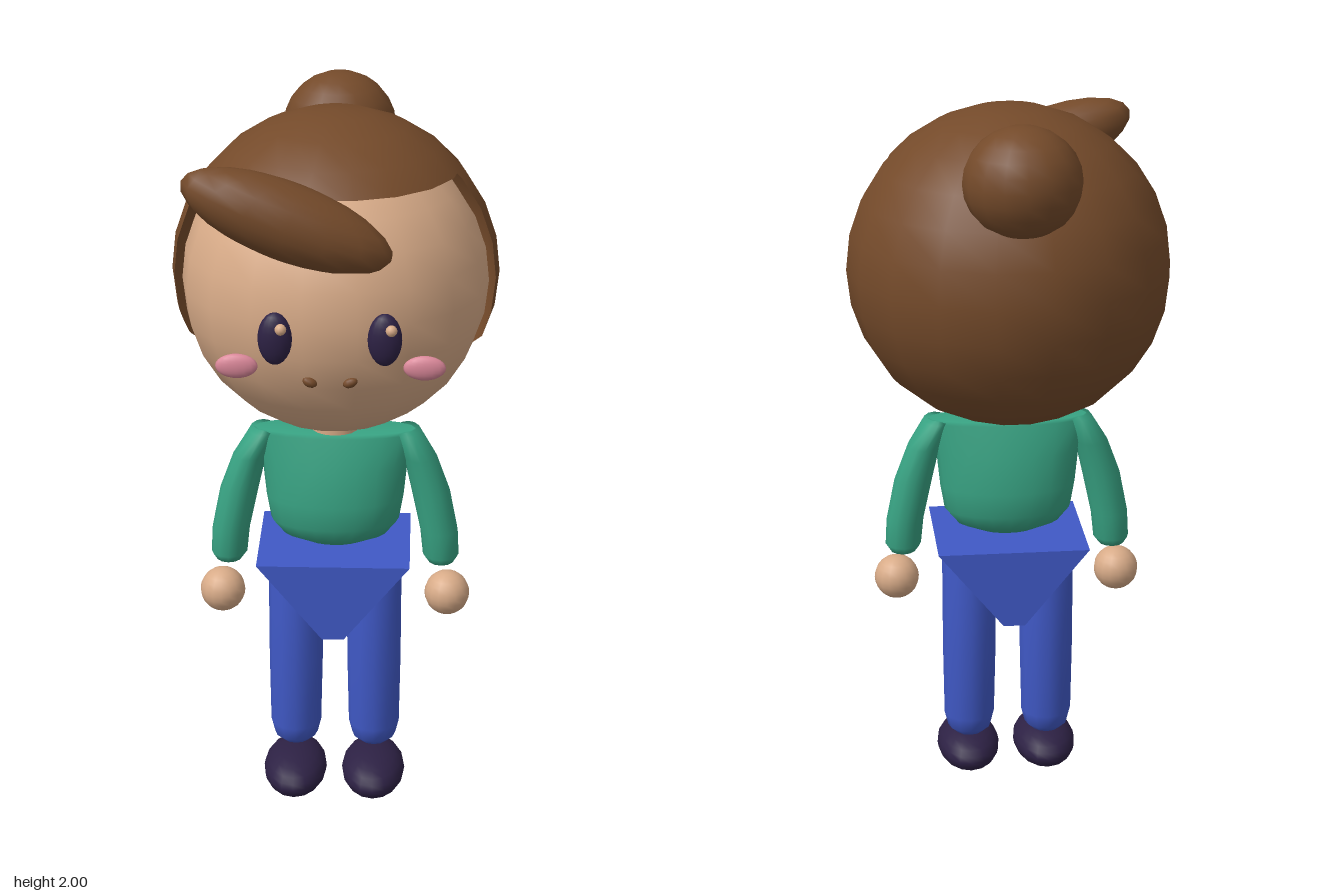
import * as THREE from 'three';

const mat = (name, color, side = THREE.FrontSide) => {
  const m = new THREE.MeshStandardMaterial({ color, side });
  m.name = name;
  return m;
};

// Keep the part of a triangle mesh where every plane [a,b,c,d] gives ax+by+cz+d >= 0.
function clipped(geometry, planes, out) {
  const g = geometry.toNonIndexed();
  const P = g.attributes.position, N = g.attributes.normal;
  for (let t = 0; t < P.count; t += 3) {
    let poly = [0, 1, 2].map(k => ({
      p: new THREE.Vector3().fromBufferAttribute(P, t + k),
      n: new THREE.Vector3().fromBufferAttribute(N, t + k),
    }));
    for (const [a, b, c, d] of planes) {
      const dist = v => a * v.p.x + b * v.p.y + c * v.p.z + d;
      const next = [];
      poly.forEach((v, i) => {
        const w = poly[(i + 1) % poly.length], dv = dist(v), dw = dist(w);
        if (dv >= 0) next.push(v);
        if ((dv >= 0) !== (dw >= 0)) {
          const f = dv / (dv - dw);
          next.push({ p: v.p.clone().lerp(w.p, f), n: v.n.clone().lerp(w.n, f).normalize() });
        }
      });
      poly = next;
    }
    for (let k = 1; k + 1 < poly.length; k++) {
      for (const v of [poly[0], poly[k], poly[k + 1]]) {
        out.p.push(...v.p.toArray());
        out.n.push(...v.n.toArray());
      }
    }
  }
}

// Smooth body through horizontal ellipses [x, y, z, rx, rz], listed from bottom to top.
function loft(rings, segs = 16) {
  const pos = [], idx = [];
  rings.forEach(([x, y, z, rx, rz], i) => {
    for (let j = 0; j < segs; j++) {
      const a = (j / segs) * Math.PI * 2;
      pos.push(x + Math.cos(a) * rx, y, z + Math.sin(a) * rz);
      if (i + 1 < rings.length) {
        const k = (j + 1) % segs, A = i * segs + j, B = i * segs + k;
        idx.push(A, A + segs, B, B, A + segs, B + segs);
      }
    }
  });
  const g = new THREE.BufferGeometry();
  g.setAttribute('position', new THREE.Float32BufferAttribute(pos, 3));
  g.setIndex(idx);
  g.computeVertexNormals();
  return g;
}

export function createModel() {
  const model = new THREE.Group();
  const skin = mat('skin', 0xd8ab88);
  const hair = mat('hair', 0x744a2a, THREE.DoubleSide);
  const green = mat('sweater', 0x38a383);
  const blue = mat('trousers', 0x4059c6);
  const dark = mat('eyesAndShoes', 0x2d2144);
  const pink = mat('blush', 0xda8799);

  const add = (name, geometry, material) => {
    const m = new THREE.Mesh(geometry, material);
    m.name = name;
    model.add(m);
    return m;
  };
  const ball = (name, material, pos, r, w = 16, h = 12) => {
    const m = add(name, new THREE.SphereGeometry(1, w, h), material);
    m.position.set(...pos);
    m.scale.set(...r);
    return m;
  };

  // Head and neck
  ball('head', skin, [0, 1.52, 0.02], [0.412, 0.412, 0.412], 18, 14);
  const neck = add('neck', new THREE.CylinderGeometry(0.065, 0.065, 0.12, 16), skin);
  neck.position.set(0, 1.11, 0.045);

  // Hair shell: back half cut slanting at the nape, plus the crown above the forehead
  const shell = new THREE.SphereGeometry(0.44, 18, 14);
  shell.translate(0, 1.543, 0.005);
  const cut = { p: [], n: [] };
  clipped(shell, [[0, 0, -1, 0.07], [0, 1, -0.96, -1.353]], cut);
  clipped(shell, [[0, 0, 1, -0.07], [0, 1, 0, -1.83]], cut);
  const hairGeo = new THREE.BufferGeometry();
  hairGeo.setAttribute('position', new THREE.Float32BufferAttribute(cut.p, 3));
  hairGeo.setAttribute('normal', new THREE.Float32BufferAttribute(cut.n, 3));
  add('hairShell', hairGeo, hair);

  ball('hairBun', hair, [0, 1.855, -0.33], [0.155, 0.146, 0.142]);
  ball('fringe', hair, [-0.11, 1.782, 0.355], [0.285, 0.1, 0.097]).rotation.z = -0.37;

  // Torso
  add('torso', loft([
    [0, 0.76, 0.045, 0, 0],
    [0, 0.765, 0.045, 0.08, 0.05],
    [0, 0.79, 0.045, 0.145, 0.085],
    [0, 0.83, 0.045, 0.178, 0.105],
    [0, 0.9, 0.045, 0.19, 0.11],
    [0, 1.0, 0.045, 0.2, 0.095],
    [0, 1.09, 0.045, 0.225, 0.07],
    [0, 1.1, 0.045, 0.22, 0.065],
    [0, 1.1, 0.045, 0, 0],
  ], 20), green);

  // Hips: a wedge running front to back, wide above and narrow below
  const wedge = new THREE.Shape([
    new THREE.Vector2(-0.21, 0.76), new THREE.Vector2(-0.03, 0.54),
    new THREE.Vector2(0.03, 0.54), new THREE.Vector2(0.21, 0.76),
  ]);
  const hips = new THREE.ExtrudeGeometry(wedge, { depth: 0.37, bevelEnabled: false });
  hips.translate(0, 0, -0.14);
  add('hips', hips, blue);

  for (const s of [1, -1]) {
    const side = s > 0 ? 'left' : 'right';

    // Arm and hand
    add(side + 'Arm', loft([
      [s * 0.297, 0.7, 0.052, 0, 0],
      [s * 0.297, 0.705, 0.052, 0.036, 0.04],
      [s * 0.296, 0.725, 0.052, 0.05, 0.05],
      [s * 0.29, 0.8, 0.052, 0.052, 0.053],
      [s * 0.265, 0.92, 0.05, 0.053, 0.056],
      [s * 0.235, 1.02, 0.047, 0.046, 0.058],
      [s * 0.2, 1.095, 0.045, 0.035, 0.062],
      [s * 0.19, 1.1, 0.045, 0, 0],
    ], 12), green);
    ball(side + 'Hand', skin, [s * 0.315, 0.615, 0.072], [0.063, 0.063, 0.063]);

    // Leg and shoe
    add(side + 'Leg', loft([
      [s * 0.112, 0.125, 0.048, 0, 0],
      [s * 0.112, 0.13, 0.048, 0.04, 0.04],
      [s * 0.112, 0.15, 0.048, 0.062, 0.062],
      [s * 0.112, 0.19, 0.048, 0.072, 0.072],
      [s * 0.111, 0.4, 0.046, 0.076, 0.076],
      [s * 0.11, 0.68, 0.045, 0.077, 0.076],
      [s * 0.108, 0.73, 0.045, 0.06, 0.06],
      [s * 0.105, 0.75, 0.045, 0, 0],
    ], 12), blue);
    ball(side + 'Shoe', dark, [s * 0.112, 0.065, 0.1], [0.09, 0.062, 0.15]);

    // Face
    ball(side + 'Eye', dark, [s * 0.14, 1.49, 0.414], [0.044, 0.07, 0.027]);
    ball(side + 'EyeGlint', skin, [s * 0.14 + 0.017, 1.528, 0.453], [0.015, 0.015, 0.015], 10, 8);
    ball(side + 'Cheek', pink, [s * 0.242, 1.4, 0.375], [0.055, 0.033, 0.017]);
    ball(side + 'MouthCorner', hair, [s * 0.052, 1.366, 0.398], [0.02, 0.013, 0.013], 10, 8)
      .rotation.z = s * 0.4;
  }
  return model;
}
